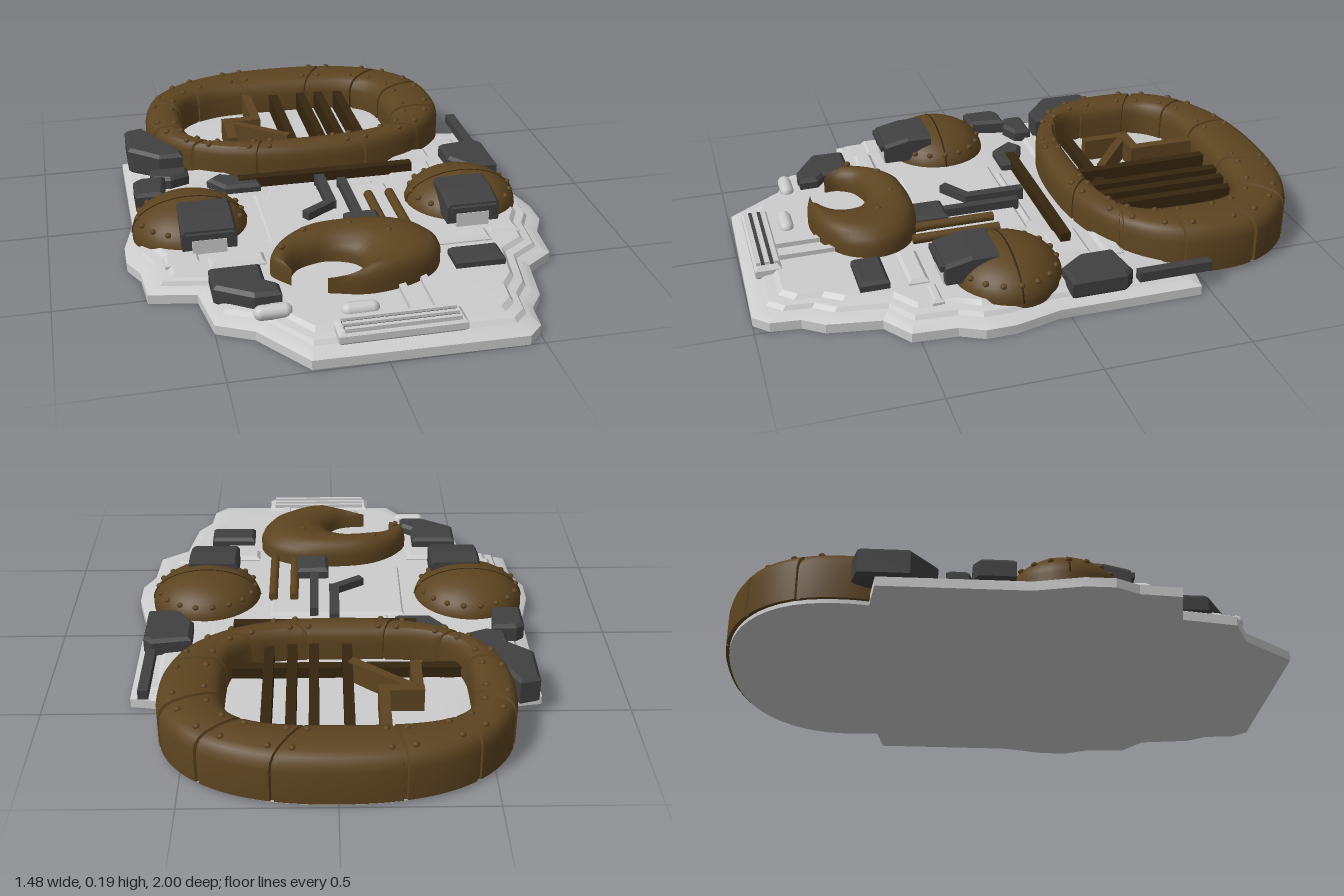
import * as THREE from 'three';
import { mergeGeometries, toCreasedNormals } from 'three/addons/utils/BufferGeometryUtils.js';

const material = (name, color) => Object.assign(new THREE.MeshStandardMaterial({ color }), { name });
const V = (x, y, z) => new THREE.Vector3(x, y, z);

// Skin a grid of points; every row is a closed loop.
function loft(rows, closeRows, crease = 0.6) {
  const n = rows[0].length, index = [];
  const last = closeRows ? rows.length : rows.length - 1;
  for (let r = 0; r < last; r++) for (let c = 0; c < n; c++) {
    const s = (r + 1) % rows.length, d = (c + 1) % n;
    index.push(r * n + c, r * n + d, s * n + c, r * n + d, s * n + d, s * n + c);
  }
  const g = new THREE.BufferGeometry().setFromPoints(rows.flat());
  g.setIndex(index);
  return toCreasedNormals(g, crease);
}

// Upright prism from a plan outline in x, z.
function prism(points, y0, y1, bevel = 0.012) {
  const shape = new THREE.Shape(points.map(([x, z]) => new THREE.Vector2(x, -z)));
  const g = new THREE.ExtrudeGeometry(shape, {
    depth: y1 - y0 - bevel, bevelEnabled: bevel > 0, bevelThickness: bevel,
    bevelSize: bevel, bevelOffset: -bevel, bevelSegments: 1, curveSegments: 6
  });
  return g.rotateX(-Math.PI / 2).translate(0, y0, 0);
}
const rect = (x0, x1, z0, z1) => [[x0, z0], [x1, z0], [x1, z1], [x0, z1]];

// Straight bar of a given width between two plan points.
function bar(x0, z0, x1, z1, w, y0, y1) {
  return new THREE.BoxGeometry(Math.hypot(x1 - x0, z1 - z0), y1 - y0, w)
    .rotateY(-Math.atan2(z1 - z0, x1 - x0))
    .translate((x0 + x1) / 2, (y0 + y1) / 2, (z0 + z1) / 2);
}

// Point on a rounded oval at a polar angle.
function oval(angle, cx, cz, a, b, n) {
  const c = Math.cos(angle), s = Math.sin(angle);
  const r = (Math.abs(c / a) ** n + Math.abs(s / b) ** n) ** (-1 / n);
  return [cx + c * r, cz + s * r];
}
const rad = THREE.MathUtils.degToRad;
const ringOuter = a => oval(a, 0, -0.58, 0.59, 0.42, 2.3);
const ringInner = a => oval(a, -0.037, -0.53, 0.41, 0.26, 3.8);
const mix = (p, q, s) => [p[0] + (q[0] - p[0]) * s, p[1] + (q[1] - p[1]) * s];

export function createModel() {
  const model = new THREE.Group();
  const pale = material('pale grey', 0xcccccc);
  const brown = material('bronze brown', 0x5c4420);
  const umber = material('dark umber', 0x35260f);
  const dark = material('charcoal', 0x404040);
  const add = (name, geometry, mat) => {
    const m = new THREE.Mesh(geometry, mat);
    m.name = name;
    model.add(m);
    return m;
  };
  const rivet = (x, y, z) => new THREE.SphereGeometry(0.012, 8, 5).scale(1, 0.8, 1).translate(x, y, z);

  // Stepped base plate, with a rounded back under the ring
  const outline = [[0.45, 1], [0.50, 0.95], [0.51, 0.85], [0.56, 0.78], [0.59, 0.6], [0.69, 0.53],
    [0.70, 0.38], [0.74, 0.3], [0.74, 0.2], [0.70, 0.04], [0.70, -0.2], [0.70, -0.46]];
  for (let a = 10; a >= -190; a -= 5) outline.push(mix(ringOuter(rad(a)), [0, -0.58], 0.03));
  outline.push([-0.70, -0.46], [-0.70, -0.2], [-0.70, 0.04], [-0.74, 0.2], [-0.74, 0.3], [-0.70, 0.38],
    [-0.69, 0.52], [-0.53, 0.55], [-0.50, 0.74], [-0.38, 0.80], [-0.24, 0.99], [0.1, 0.995]);
  const steps = [[0, 0], [1, 0], [1, 0.033], [0.965, 0.045], [0.935, 0.05], [0.92, 0.064], [0.88, 0.068],
    [0.86, 0.082], [0.7, 0.084], [0.55, 0.084], [0.4, 0.084], [0.25, 0.084], [0.1, 0.084], [0, 0.084]];
  add('basePlate', loft(steps.map(([s, y]) => outline.map(([x, z]) => {
    const pz = 0.2 + (z - 0.2) * s;
    const fall = THREE.MathUtils.clamp(1 + (pz - 0.05) * 1.45, 0.35, 1);
    return V(x * s, y < 0.04 ? y : 0.04 + (y - 0.04) * fall, pz);
  })), false, 0.3), pale);

  // Raised panels and pads on the plate
  const pads = [
    [-0.26, 0.24, 0, 0.36, 0.09], [-0.48, -0.29, 0.42, 0.49, 0.1], [0.29, 0.49, 0.42, 0.49, 0.1],
    [-0.49, -0.3, -0.27, -0.2, 0.08], [0.27, 0.47, -0.27, -0.2, 0.08], [-0.62, -0.5, 0.36, 0.43, 0.09],
    [0.5, 0.61, 0.4, 0.44, 0.09], [0.27, 0.45, -0.16, -0.03, 0.082], [-0.2, 0.2, -0.03, 0, 0.088]
  ];
  add('raisedPads', mergeGeometries(pads.map(([a, b, c, d, y]) => prism(rect(a, b, c, d), 0.04, y))), pale);
  for (const [x, z] of [[-0.32, 0.775], [-0.05, 0.815]]) {
    add('pillBoss', new THREE.CapsuleGeometry(0.025, 0.075, 4, 10).rotateZ(Math.PI / 2).translate(x, 0.083, z), pale);
  }
  for (const x of [0.11, 0.19]) add('paleRod', bar(x, 0.58, x, 0.87, 0.025, 0.07, 0.1), pale);

  // Slatted vent at the front edge
  add('frontVent', prism(rect(-0.15, 0.26, 0.87, 0.96), 0.06, 0.095), pale);
  for (const z of [0.885, 0.915, 0.945]) add('ventSlat', bar(-0.13, z, 0.24, z, 0.014, 0.09, 0.105), pale);
  for (const z of [0.9, 0.93]) add('ventSlot', bar(-0.13, z, 0.24, z, 0.012, 0.09, 0.097), dark);

  // Large segmented ring with sunken seams
  const profile = [[0, 0.012], [0, 0.13], [0.03, 0.153], [0.1, 0.172], [0.22, 0.183], [0.5, 0.188],
    [0.78, 0.183], [0.9, 0.172], [0.97, 0.153], [1, 0.13], [1, 0.03]];
  const seams = [13, 35, 63, 117, 145, 167, 193, 215, 243, 297, 325, 347];
  const stations = [];
  for (let a = 0; a < 360; a += 3) if (seams.every(s => Math.abs(s - a) > 1.2)) stations.push([a, 0]);
  for (const s of seams) stations.push([s - 0.9, 0], [s - 0.6, 1], [s + 0.6, 1], [s + 0.9, 0]);
  stations.sort((p, q) => p[0] - q[0]);
  add('ring', loft(stations.map(([deg, sunk]) => {
    const o = ringOuter(rad(deg)), i = ringInner(rad(deg));
    return profile.map(([s, y]) => {
      const [x, z] = mix(o, i, sunk ? 0.04 + s * 0.92 : s);
      return V(x, sunk && y > 0.1 ? y - 0.008 : y, z);
    });
  }), true), brown);
  add('ringRivets', mergeGeometries(seams.flatMap(s => [-5, 5].flatMap(d => [0.25, 0.72].map(k => {
    const [x, z] = mix(ringOuter(rad(s + d)), ringInner(rad(s + d)), k);
    return rivet(x, 0.184, z);
  })))), brown);

  // Fins and angled walls inside the ring
  for (const x of [-0.04, 0.075, 0.15, 0.23]) add('ringFin', bar(x, -0.80, x, -0.27, 0.034, 0.03, 0.13), umber);
  add('ringCrossbar', bar(-0.43, -0.36, 0.37, -0.36, 0.036, 0.03, 0.1), umber);
  add('angledWalls', mergeGeometries([
    bar(-0.155, -0.79, -0.155, -0.54, 0.036, 0.03, 0.14), bar(-0.29, -0.556, -0.137, -0.556, 0.036, 0.03, 0.139),
    bar(-0.27, -0.57, -0.27, -0.39, 0.036, 0.03, 0.138), bar(-0.25, -0.54, -0.05, -0.38, 0.03, 0.03, 0.137)
  ]), brown);

  // Riveted domes, each with a hooded block at its front
  for (const cx of [-0.505, 0.478]) {
    const side = Math.sign(cx), hx = side < 0 ? -0.463 : 0.458;
    add('dome', new THREE.SphereGeometry(1, 36, 12, 0, Math.PI * 2, 0, Math.PI / 2)
      .scale(0.202, 0.12, 0.188).translate(cx, 0.07, 0.157), brown);
    add('domeSkirt', new THREE.CylinderGeometry(1, 1, 0.03, 36, 1, true)
      .scale(0.202, 1, 0.188).translate(cx, 0.056, 0.157), brown);
    add('domeSeam', new THREE.TorusGeometry(1, 0.015, 4, 32, Math.PI)
      .scale(0.202, 0.12, 0.188).translate(cx, 0.07, 0.157), umber);
    const rivets = [];
    for (let k = 0; k < 18; k++) {
      const a = k * Math.PI / 9;
      rivets.push(rivet(cx + Math.cos(a) * 0.18, 0.124, 0.157 + Math.sin(a) * 0.168));
    }
    add('domeRivets', mergeGeometries(rivets), brown);

    const arch = new THREE.Shape([[-0.093, 0.1], [-0.06, 0.1], [-0.06, 0.148], [0.06, 0.148], [0.06, 0.1],
      [0.093, 0.1], [0.093, 0.18], [0.083, 0.192], [-0.083, 0.192], [-0.093, 0.18]]
      .map(([x, y]) => new THREE.Vector2(x, y)));
    const hood = new THREE.ExtrudeGeometry(arch, { depth: 0.18, bevelEnabled: false, steps: 2 });
    const p = hood.attributes.position;
    for (let i = 0; i < p.count; i++) {
      if (p.getZ(i) > 0.17 && p.getY(i) > 0.16) p.setY(i, p.getY(i) - 0.02);
    }
    hood.computeVertexNormals();
    add('hood', hood.translate(hx, 0, 0.2), dark);
    add('hoodLip', bar(hx - 0.08, 0.385, hx + 0.08, 0.385, 0.02, 0.145, 0.165), dark);
    add('hoodInsert', bar(hx - 0.058, 0.355, hx + 0.058, 0.355, 0.05, 0.07, 0.135), pale);
  }

  // Tapered crescent horn
  const curve = pts => new THREE.CatmullRomCurve3(pts.map(([x, z]) => V(x, 0, z)));
  const hornOuter = curve([[-0.235, 0.64], [-0.29, 0.56], [-0.25, 0.47], [-0.15, 0.395], [0, 0.37], [0.15, 0.385],
    [0.25, 0.45], [0.285, 0.54], [0.25, 0.64], [0.15, 0.71], [0, 0.74], [-0.13, 0.708]]);
  const hornInner = curve([[-0.23, 0.643], [-0.23, 0.60], [-0.20, 0.55], [-0.15, 0.525], [-0.10, 0.515], [-0.05, 0.525],
    [0, 0.555], [0.02, 0.60], [0.015, 0.65], [-0.02, 0.69], [-0.06, 0.705], [-0.13, 0.712]]);
  const hornProfile = [[0, 0], [0, 0.5], [0.04, 0.7], [0.13, 0.87], [0.28, 0.97], [0.45, 1],
    [0.65, 0.95], [0.83, 0.82], [0.95, 0.62], [1, 0.4], [1, 0]];
  const hornRows = [];
  for (let k = 0; k <= 60; k++) {
    const t = k / 60, o = hornOuter.getPoint(t), i = hornInner.getPoint(t);
    const height = 0.07 + 0.045 * Math.min(1, o.distanceTo(i) / 0.14);
    hornRows.push(hornProfile.map(([s, h]) => o.clone().lerp(i, s).setY(0.07 + h * height)));
  }
  add('crescent', loft(hornRows, false, 0.9), brown);
  add('crescentRivets', mergeGeometries([[-0.25, 0.55], [-0.16, 0.455], [0, 0.44], [0.12, 0.51]]
    .map(([x, z]) => rivet(x, 0.18, z))), brown);

  // Charcoal blocks bolted around the plate
  const blocks = [
    [0.15, [[-0.68, -0.52], [-0.61, -0.54], [-0.48, -0.31], [-0.48, -0.26], [-0.57, -0.26], [-0.68, -0.35]]],
    [0.115, [[-0.61, -0.235], [-0.47, -0.235], [-0.47, -0.17], [-0.54, -0.14], [-0.61, -0.16]]],
    [0.125, [[-0.68, -0.13], [-0.65, -0.15], [-0.56, -0.15], [-0.58, -0.01], [-0.68, -0.01]]],
    [0.11, [[-0.41, -0.12], [-0.36, -0.16], [-0.22, -0.1], [-0.22, -0.04], [-0.35, -0.04]]],
    [0.12, [[0.51, -0.21], [0.65, -0.23], [0.68, -0.2], [0.68, -0.01], [0.57, -0.01], [0.51, -0.09]]],
    [0.12, [[-0.49, 0.53], [-0.32, 0.53], [-0.32, 0.63], [-0.28, 0.66], [-0.28, 0.725], [-0.37, 0.725], [-0.49, 0.65]]],
    [0.115, rect(0.315, 0.485, 0.55, 0.65)],
    [0.13, rect(0.02, 0.14, 0.265, 0.4)]
  ];
  for (const [top, pts] of blocks) add('block', prism(pts, 0.06, top), dark);
  add('sideRail', bar(0.648, -0.51, 0.648, -0.25, 0.035, 0.065, 0.1), dark);

  // Rods and pipes across the middle
  add('centrePipe', bar(0.075, -0.01, 0.075, 0.27, 0.032, 0.07, 0.12), dark);
  add('bentPipe', mergeGeometries([bar(0, -0.05, 0, 0.17, 0.036, 0.07, 0.12),
    bar(0.01, 0.15, -0.105, 0.225, 0.032, 0.07, 0.119)]), dark);
  add('crossRod', bar(-0.295, -0.095, 0.365, -0.095, 0.036, 0.06, 0.115), umber);
  for (const x of [0.15, 0.228]) {
    add('rod', new THREE.CylinderGeometry(0.017, 0.017, 0.31, 10).rotateX(Math.PI / 2).translate(x, 0.1, 0.26), brown);
  }
  return model;
}
